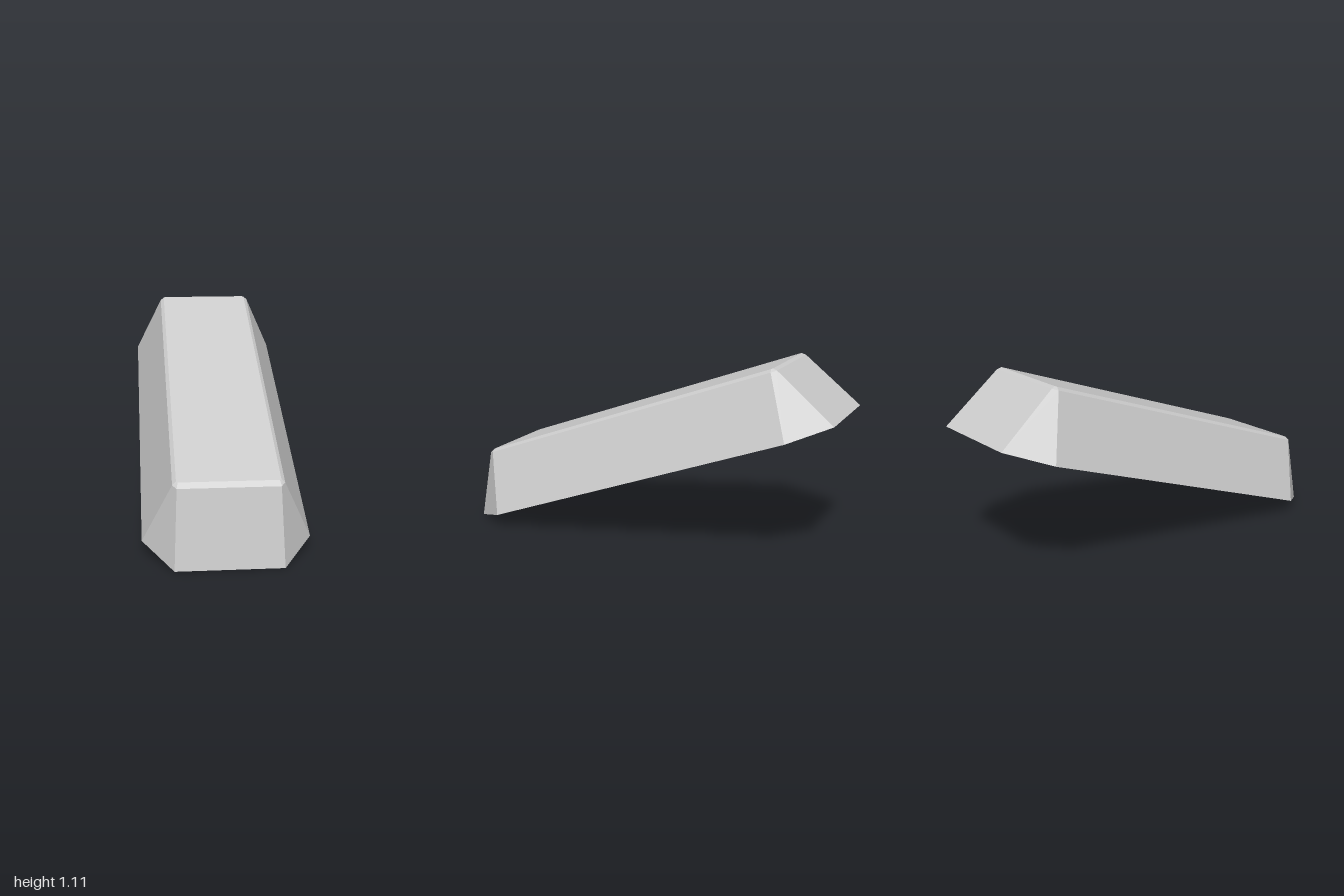
import * as THREE from 'three';

const SLOPE = 0.515;

// Chamfered rectangle on the slanted plane; a runs along the diagonal axis, b across it.
function ring({ front, back, half, cutA, cutB, lift }) {
  const inner = half - cutB;
  return [
    [front, -inner], [front, inner],
    [front - cutA, half], [back + cutA, half],
    [back, inner], [back, -inner],
    [back + cutA, -half], [front - cutA, -half],
  ].map(([a, b]) => new THREE.Vector3(a + b, Math.max(0, lift - SLOPE * a), a - b));
}

// Skin successive rings, bottom to top, and close the top; the underside stays open.
function shellGeometry(rings) {
  const points = [];
  for (let r = 0; r < rings.length - 1; r++) {
    const low = rings[r], high = rings[r + 1];
    for (let i = 0; i < low.length; i++) {
      const j = (i + 1) % low.length;
      points.push(low[i], low[j], high[j], low[i], high[j], high[i]);
    }
  }
  const cap = rings[rings.length - 1];
  for (let i = 1; i < cap.length - 1; i++) points.push(cap[0], cap[i], cap[i + 1]);
  const geometry = new THREE.BufferGeometry().setFromPoints(points);
  geometry.computeVertexNormals();
  return geometry;
}

export function createModel() {
  const group = new THREE.Group();
  group.name = 'slantedCover';

  const rings = [
    // open rim
    { front: 0.8, back: -0.8, half: 0.315, cutA: 0.155, cutB: 0.115, lift: 0.412 },
    // shoulder under the narrow top bevel
    { front: 0.752, back: -0.567, half: 0.203, cutA: 0.02, cutB: 0.015, lift: 0.805 },
    // flat top
    { front: 0.735, back: -0.55, half: 0.189, cutA: 0.006, cutB: 0.006, lift: 0.822 },
  ].map(ring);

  const material = new THREE.MeshStandardMaterial({
    color: 0xcccccc, flatShading: true, side: THREE.DoubleSide,
  });
  const shell = new THREE.Mesh(shellGeometry(rings), material);
  shell.name = 'coverShell';
  group.add(shell);
  return group;
}
